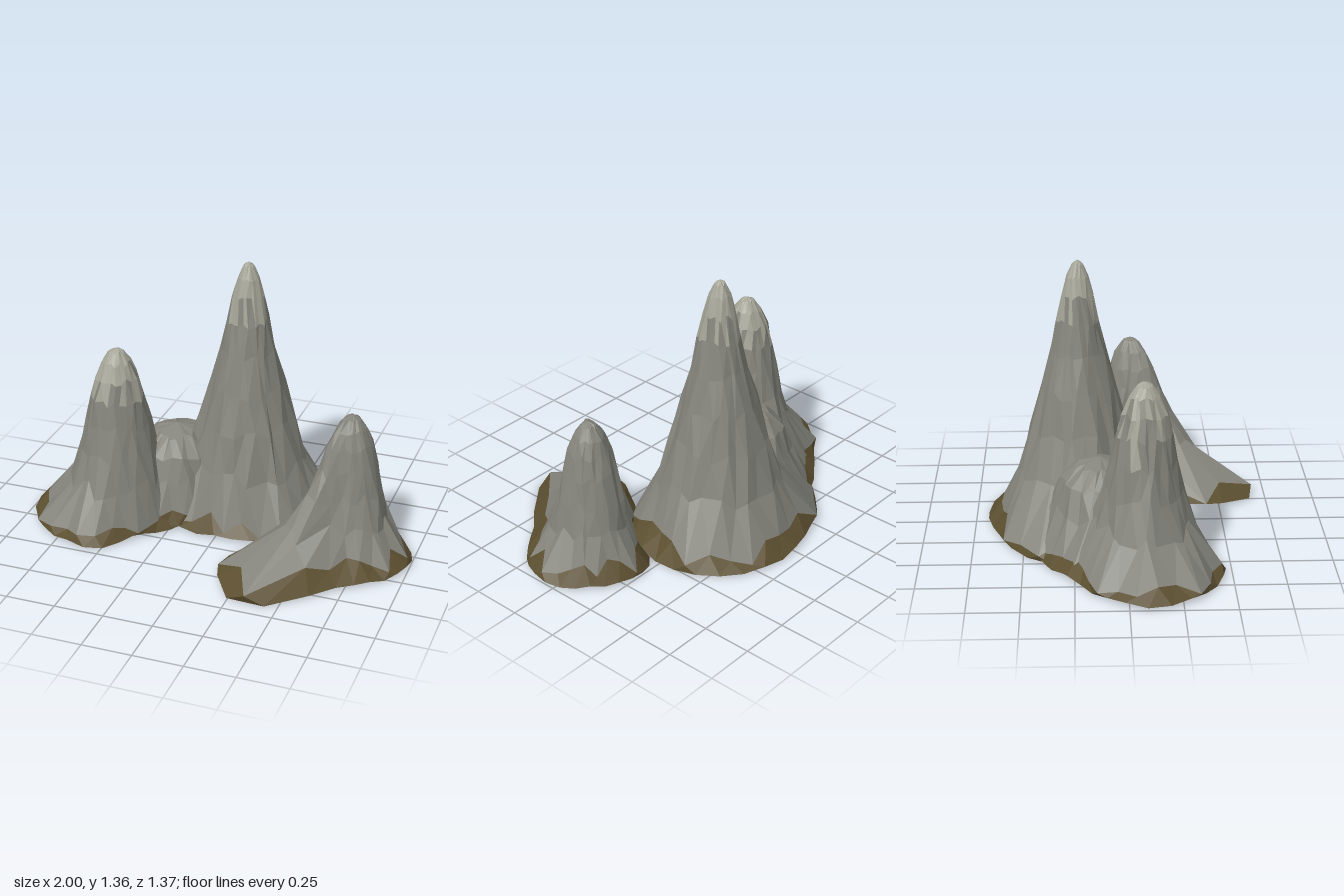
import * as THREE from 'three';

const SIDES = 26;
const GREY = 0x85857d, PALE = 0xa5a598, BROWN = 0x5c4f30;

// foot: ground radii every 30 degrees from +x towards +z
// core: radii of the round pillar at six even heights below the summit
// spread: how slowly the spurs of the foot fade with height
const PEAKS = [
  {
    name: 'tallPeak', x: 0.045, z: -0.225, top: 1.37, pale: 1.04, rings: 9, seed: 3, spread: 0.5,
    foot: [0.475, 0.46, 0.42, 0.39, 0.42, 0.52, 0.58, 0.54, 0.47, 0.465, 0.48, 0.49],
    core: [0.34, 0.3, 0.25, 0.195, 0.135, 0.09],
  },
  {
    name: 'middlePeak', x: -0.54, z: 0.085, top: 0.95, pale: 0.7, rings: 8, seed: 11, spread: 0.5,
    foot: [0.36, 0.27, 0.28, 0.38, 0.4, 0.43, 0.46, 0.4, 0.38, 0.45, 0.48, 0.45],
    core: [0.26, 0.225, 0.195, 0.17, 0.145, 0.11],
  },
  {
    name: 'saddleRidge', x: -0.3, z: -0.12, top: 0.48, pale: 0.48, rings: 4, seed: 17, spread: 0.5,
    foot: [0.35, 0.28, 0.27, 0.29, 0.3, 0.32, 0.45, 0.39, 0.345, 0.4, 0.5, 0.42],
    core: [0.26, 0.25, 0.235, 0.22, 0.2, 0.17],
  },
  {
    name: 'smallPeak', x: 0.67, z: 0.05, top: 0.77, pale: 0.77, rings: 7, seed: 23, spread: 0.3,
    foot: [0.33, 0.33, 0.33, 0.41, 0.74, 0.62, 0.29, 0.22, 0.29, 0.3, 0.29, 0.3],
    core: [0.22, 0.2, 0.175, 0.155, 0.13, 0.1],
  },
];

// Repeatable noise between -1 and 1
function seeded(seed) {
  let s = seed * 7919;
  return () => {
    s = (s * 16807) % 2147483647;
    return (s / 2147483647) * 2 - 1;
  };
}

// Smooth closed curve through the foot radii
function footRadius(foot, angle) {
  const n = foot.length;
  const t = THREE.MathUtils.euclideanModulo(angle / (Math.PI * 2), 1) * n;
  const i = Math.floor(t), f = t - i;
  const [a, b, c, d] = [-1, 0, 1, 2].map((k) => foot[(i + k + n) % n]);
  return b + 0.5 * f * (c - a + f * (2 * a - 5 * b + 4 * c - d + f * (3 * (b - c) + d - a)));
}

// Pillar radius with a rounded tip
function coreRadius({ core, top }, y) {
  const t = THREE.MathUtils.clamp(y / top, 0, 1) * core.length;
  const i = Math.min(Math.floor(t), core.length - 1), f = t - i;
  return i === core.length - 1 ? core[i] * Math.sqrt(1 - f) : THREE.MathUtils.lerp(core[i], core[i + 1], f);
}

// The foot flares out of the pillar; long spurs fade more slowly with height
function peakRadius(peak, angle, y) {
  if (y >= peak.top) return 0;
  const excess = footRadius(peak.foot, angle) - peak.core[0];
  const fade = Math.exp(-Math.max(0, y - 0.03) / (0.06 + peak.spread * Math.abs(excess)));
  return coreRadius(peak, y) + (excess + peak.core[0] - coreRadius(peak, Math.min(y, 0.03))) * fade;
}

function isInside(peak, p) {
  const dx = p.x - peak.x, dz = p.z - peak.z;
  return Math.hypot(dx, dz) < peakRadius(peak, Math.atan2(dz, dx), p.y) - 0.01;
}

function facetMesh(name, points, color) {
  const geometry = new THREE.BufferGeometry().setFromPoints(points);
  geometry.computeVertexNormals();
  const material = new THREE.MeshStandardMaterial({ color, flatShading: true, side: THREE.DoubleSide });
  const mesh = new THREE.Mesh(geometry, material);
  mesh.name = name;
  return mesh;
}

function makePeak(peak) {
  const rand = seeded(peak.seed);

  // Staggered rings: wavy foot, jagged soil line, then rough rock closing up to the tip
  const rings = Array.from({ length: peak.rings + 1 }, (_, i) => {
    const rise = Math.sin((Math.PI / 2) * Math.max(0, i - 1) / peak.rings);
    const level = i === 0 ? 0.018 : 0.08 + (peak.top - 0.08) * rise;
    const roughness = i === 0 ? 0.012 : 0.008 + 0.042 * (1 - rise);
    return Array.from({ length: SIDES }, (_, j) => {
      const wobble = i > 1 ? 0.35 * rand() : 0;
      const angle = (j + (i % 2) * 0.5 + wobble) / SIDES * Math.PI * 2;
      const y = level + roughness * rand();
      const r = peakRadius(peak, angle, y) * (i > 0 ? 1 + 0.055 * rand() : 1);
      return new THREE.Vector3(peak.x + r * Math.cos(angle), y, peak.z + r * Math.sin(angle));
    });
  });

  const soil = [], rock = [], summit = [];
  const others = PEAKS.filter((other) => other !== peak);

  // Faces buried in a neighbouring peak are left out
  const addFace = (target, ...corners) => {
    if (!others.some((other) => corners.every((p) => isInside(other, p)))) target.push(...corners);
  };

  for (let i = 0; i < peak.rings; i++) {
    for (let j = 0; j < SIDES; j++) {
      const k = (j + 1) % SIDES;
      const a = rings[i][j], b = rings[i][k], c = rings[i + 1][j], d = rings[i + 1][k];
      const snowline = peak.pale + 0.13 * rand();
      const target = i === 0 ? soil : peak.pale < peak.top && a.y > snowline ? summit : rock;
      if (i % 2 === 0) {
        addFace(target, a, c, b);
        addFace(target, b, c, d);
      } else {
        addFace(target, a, d, b);
        addFace(target, a, c, d);
      }
    }
  }

  // Tip
  const tip = new THREE.Vector3(peak.x, peak.top, peak.z);
  const rim = rings[peak.rings];
  rim.forEach((p, j) => addFace(peak.pale < peak.top ? summit : rock, p, tip, rim[(j + 1) % SIDES]));

  const group = new THREE.Group();
  group.name = peak.name;
  group.add(facetMesh('soilSkirt', soil, BROWN), facetMesh('rockFace', rock, GREY));
  if (summit.length > 0) group.add(facetMesh('paleSummit', summit, PALE));
  return group;
}

export function createModel() {
  const model = new THREE.Group();
  model.name = 'rockyPeaks';
  PEAKS.forEach((peak) => model.add(makePeak(peak)));
  return model;
}
